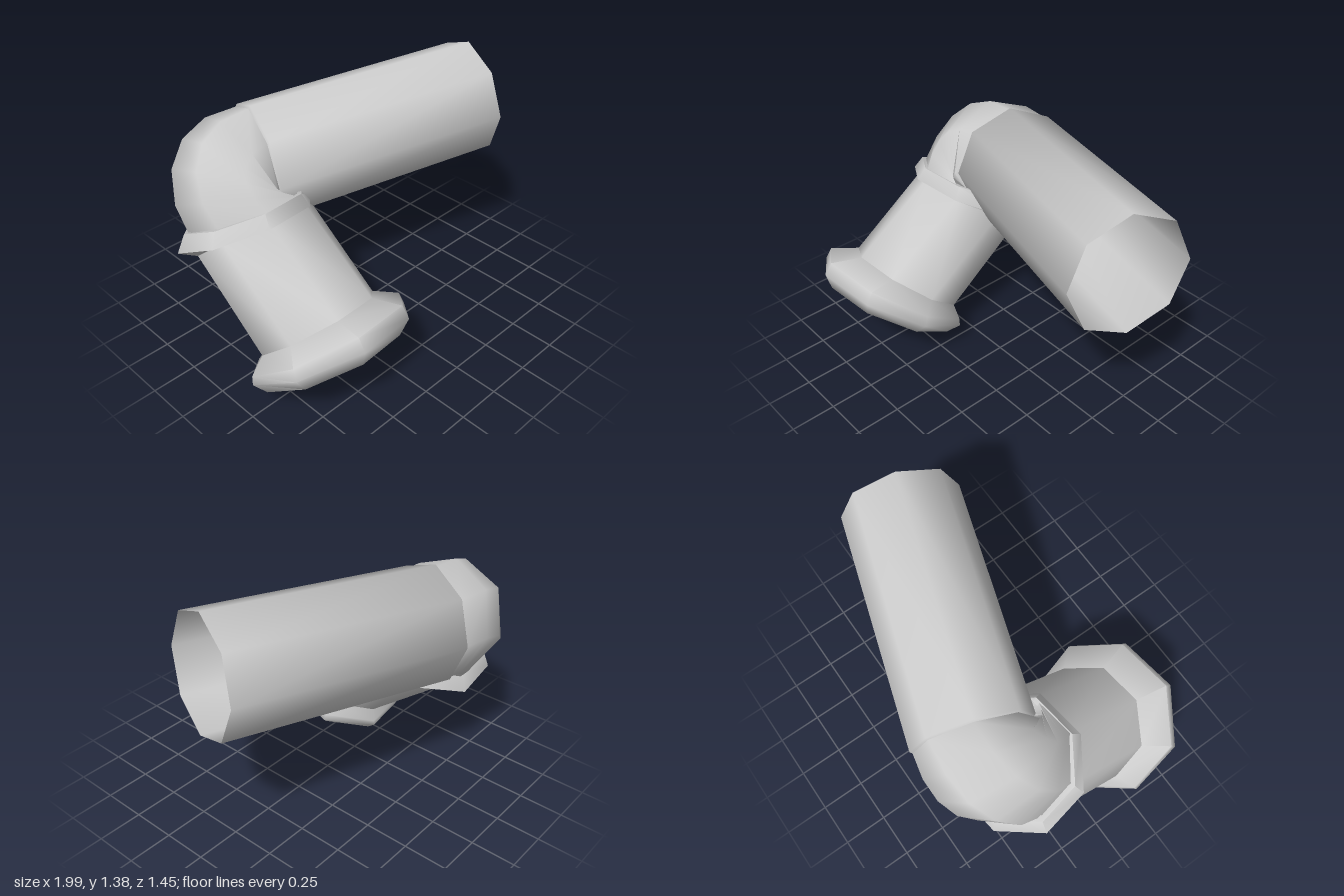
import * as THREE from 'three';
import { toCreasedNormals } from 'three/addons/utils/BufferGeometryUtils.js';

const SIDES = 8;
const PHASE = -0.25;
const V = (x, y, z) => new THREE.Vector3(x, y, z);
const material = new THREE.MeshStandardMaterial({ color: 0xcccccc, side: THREE.DoubleSide });

// Ring of the slanted lower pipe: back and front points as [z, y], centre x and half width
function slantRing([bz, by], [fz, fy], cx, rx) {
  return {
    c: V(cx, (by + fy) / 2, (bz + fz) / 2),
    u: V(rx, 0, 0),
    v: V(0, (fy - by) / 2, (fz - bz) / 2),
  };
}

// Skin a series of rings into an open surface
function loft(name, rings) {
  const pos = [], index = [];
  rings.forEach(({ c, u, v }, i) => {
    for (let j = 0; j < SIDES; j++) {
      const t = PHASE + (j / SIDES) * Math.PI * 2;
      const p = c.clone().addScaledVector(u, Math.sin(t)).addScaledVector(v, Math.cos(t));
      pos.push(p.x, p.y, p.z);
      if (i === rings.length - 1) continue;
      const k = (j + 1) % SIDES;
      const a = i * SIDES + j, b = i * SIDES + k;
      index.push(a, b, a + SIDES, b, b + SIDES, a + SIDES);
    }
  });
  const geo = new THREE.BufferGeometry();
  geo.setAttribute('position', new THREE.Float32BufferAttribute(pos, 3));
  geo.setIndex(index);
  const mesh = new THREE.Mesh(toCreasedNormals(geo, 1.2), material);
  mesh.name = name;
  return mesh;
}

export function createModel() {
  const group = new THREE.Group();
  group.name = 'bentPipe';

  // Flared flange around the lower opening, with a thin inner lip
  const pipeBottom = slantRing([0.02, 0.145], [0.5, 0.565], -0.545, 0.34);
  group.add(loft('flange', [
    slantRing([0.06, 0.17], [0.5, 0.53], -0.55, 0.31),
    slantRing([0.1, 0.035], [0.68, 0.43], -0.565, 0.355),
    slantRing([0.055, -0.005], [0.7, 0.435], -0.56, 0.385),
    slantRing([-0.01, 0.05], [0.725, 0.53], -0.553, 0.455),
    slantRing([-0.005, 0.075], [0.68, 0.595], -0.553, 0.445),
    pipeBottom,
  ]));

  // Slanted lower pipe
  const pipeTop = slantRing([-0.45, 0.515], [0.0, 0.905], -0.54, 0.34);
  group.add(loft('lowerPipe', [pipeBottom, pipeTop]));

  // Collar with a single sharp ridge between the lower pipe and the elbow
  group.add(loft('collar', [
    pipeTop,
    slantRing([-0.61, 0.54], [0.06, 0.89], -0.56, 0.39),
    slantRing([-0.575, 0.66], [0.01, 0.95], -0.555, 0.345),
    slantRing([-0.53, 0.67], [-0.02, 0.94], -0.55, 0.32),
  ]));

  // Axes of the long tube and of the collar it turns from
  const end = V(0.9, 1.055, 0);
  const axis = V(1, 0.075, 0.32).normalize();
  const start = end.clone().addScaledVector(axis, -1.32);
  const n0 = V(0, 0.84, -0.54).normalize();
  const u0 = V(1, 0, 0), v0 = u0.clone().cross(n0);
  const turn = new THREE.Quaternion().setFromUnitVectors(n0, axis);

  // Gradual twist that brings a corner of the long tube to the top
  const top = V(0, 1, 0).applyQuaternion(turn.clone().invert());
  const step = (Math.PI * 2) / SIDES;
  const offset = Math.atan2(top.dot(u0), top.dot(v0)) - PHASE;
  const twist = offset - Math.round(offset / step) * step;
  const turnedRing = (c, t, r) => {
    const q = new THREE.Quaternion().slerp(turn, t)
      .multiply(new THREE.Quaternion().setFromAxisAngle(n0, twist * t));
    return {
      c,
      u: u0.clone().multiplyScalar(r).applyQuaternion(q),
      v: v0.clone().multiplyScalar(r).applyQuaternion(q),
    };
  };

  // Elbow sweeping from the collar into the long tube
  const path = new THREE.QuadraticBezierCurve3(
    V(-0.545, 0.76, -0.26), V(-0.59, 0.97, -0.44), start.clone().addScaledVector(axis, -0.01));
  const elbow = [];
  for (let i = 0; i <= 5; i++) {
    const t = i / 5;
    elbow.push(turnedRing(path.getPoint(t), t, 0.325 - 0.01 * t + 0.018 * Math.sin(Math.PI * t)));
  }
  group.add(loft('elbow', elbow));

  // Long tube with a small step at the elbow, open at its far end
  group.add(loft('longTube', [
    elbow[5],
    turnedRing(start, 1, 0.328),
    turnedRing(end, 1, 0.328),
  ]));
  return group;
}
